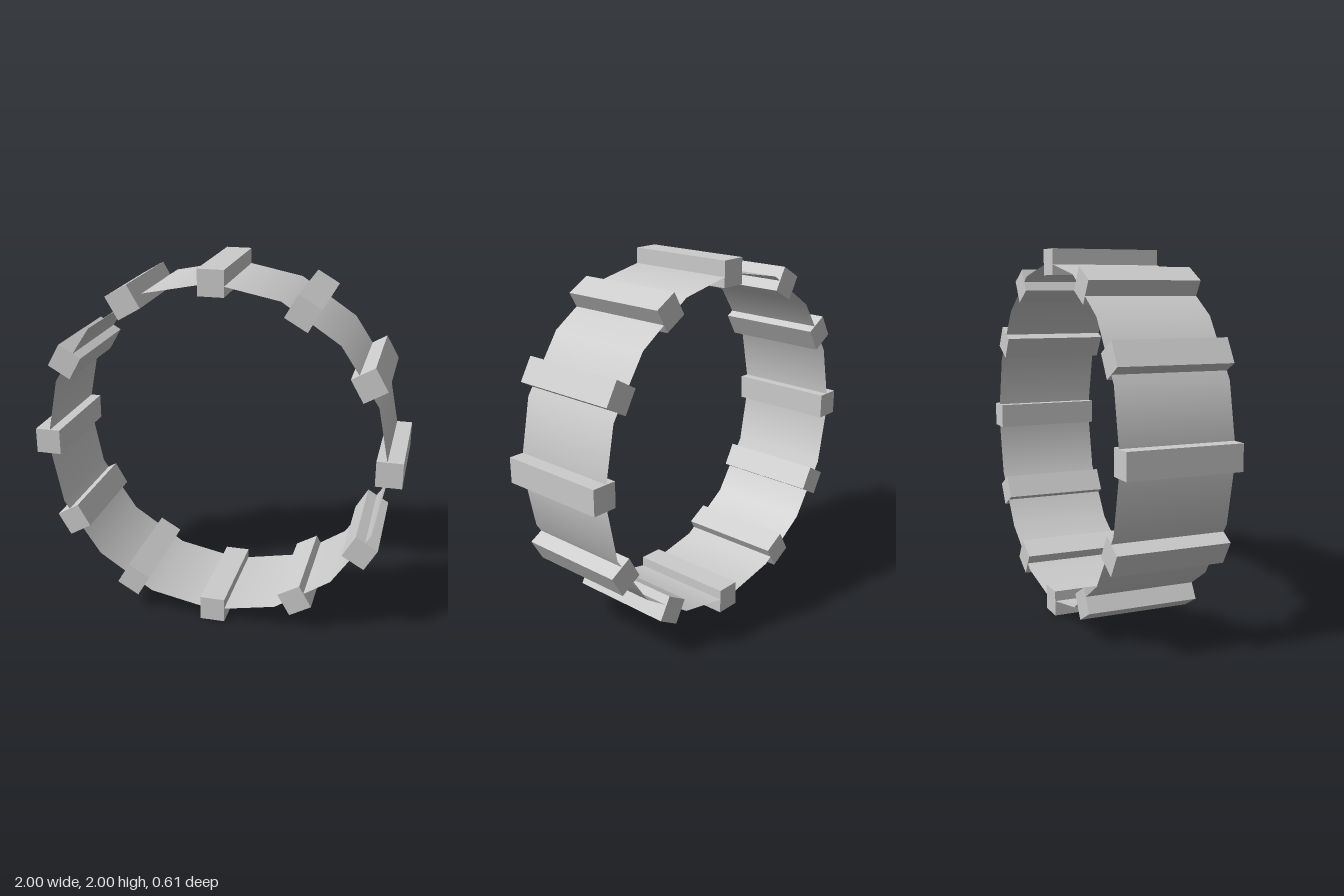
import * as THREE from 'three';

export function createModel() {
  const model = new THREE.Group();
  const material = new THREE.MeshStandardMaterial({ color: 0xcccccc });
  const thin = new THREE.MeshStandardMaterial({ color: 0xcccccc, side: THREE.DoubleSide });
  const depth = 0.61, size = 0.138, radius = 1 - size / 2, count = 12;

  // thin open band, axis along z
  const bandGeometry = new THREE.CylinderGeometry(radius, radius, depth, 16, 1, true);
  bandGeometry.rotateX(Math.PI / 2);
  const band = new THREE.Mesh(bandGeometry, thin);
  band.name = 'band';
  band.position.y = 1;
  model.add(band);

  // square bars spaced evenly around the band
  const barGeometry = new THREE.BoxGeometry(size, size, depth);
  const bars = new THREE.Group();
  bars.name = 'bars';
  for (let i = 0; i < count; i++) {
    const a = (i / count) * Math.PI * 2;
    const bar = new THREE.Mesh(barGeometry, material);
    bar.name = `bar${i + 1}`;
    bar.position.set(Math.cos(a) * radius, 1 + Math.sin(a) * radius, 0);
    bar.rotation.z = a;
    bars.add(bar);
  }
  model.add(bars);
  return model;
}
